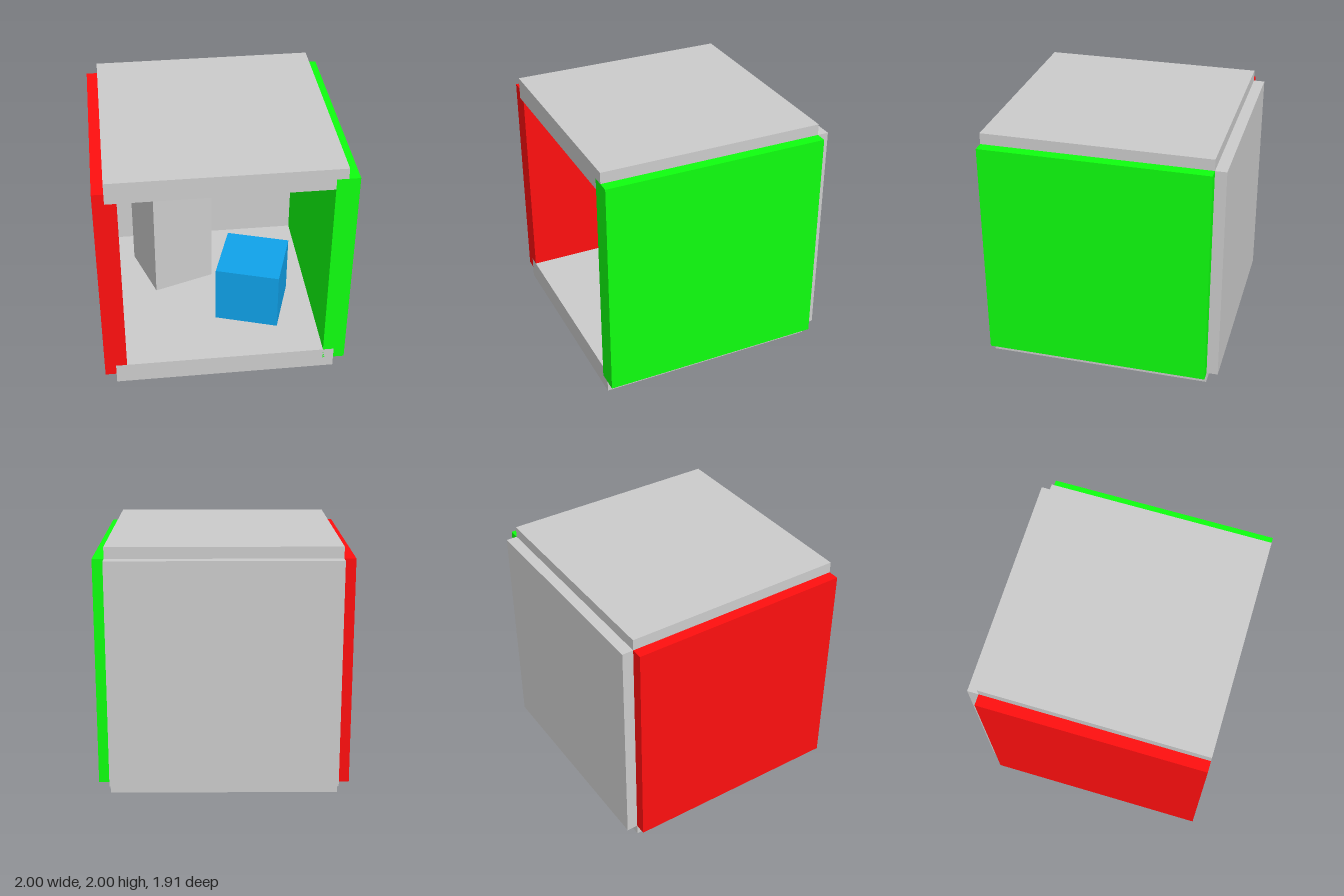
import * as THREE from 'three';

const SIZE = 1.818;      // panel side
const THICK = 0.182;     // panel thickness
const HALF = SIZE / 2;
const ROOM_Z = 0.045;    // centre of the room in depth

const material = (color) => new THREE.MeshStandardMaterial({ color });
const grey = material(0xcccccc);
const red = material(0xff0f0f);
const green = material(0x0fff0f);
const blue = material(0x10a2ea);

function box(name, mat, [w, h, d], [x, y, z], turn = 0) {
  const mesh = new THREE.Mesh(new THREE.BoxGeometry(w, h, d), mat);
  mesh.name = name;
  mesh.position.set(x, y, z);
  mesh.rotation.y = THREE.MathUtils.degToRad(turn);
  return mesh;
}

export function createModel() {
  const model = new THREE.Group();
  model.name = 'openRoom';

  // Room shell: five equal panels, open at the front
  const flat = [SIZE, THICK, SIZE];
  const side = [THICK, SIZE, SIZE];
  model.add(
    box('floor', grey, flat, [0, 1 - HALF, ROOM_Z]),
    box('ceiling', grey, flat, [0, 1 + HALF, ROOM_Z]),
    box('rightWall', red, side, [-HALF, 1, ROOM_Z]),
    box('leftWall', green, side, [HALF, 1, ROOM_Z]),
    box('backWall', grey, [SIZE, SIZE, THICK], [0, 1, ROOM_Z - HALF])
  );

  // Ceiling lamp panel
  model.add(box('ceilingLamp', grey, [0.29, 0.03, 0.29], [0, 1.81, ROOM_Z]));

  // Two turned blocks standing on the floor
  model.add(
    box('tallBlock', grey, [0.54, 1.02, 0.54], [-0.343, 0.692, -0.297], 18.4),
    box('shortBlock', blue, [0.535, 0.52, 0.535], [0.308, 0.442, 0.286], -18)
  );

  return model;
}
